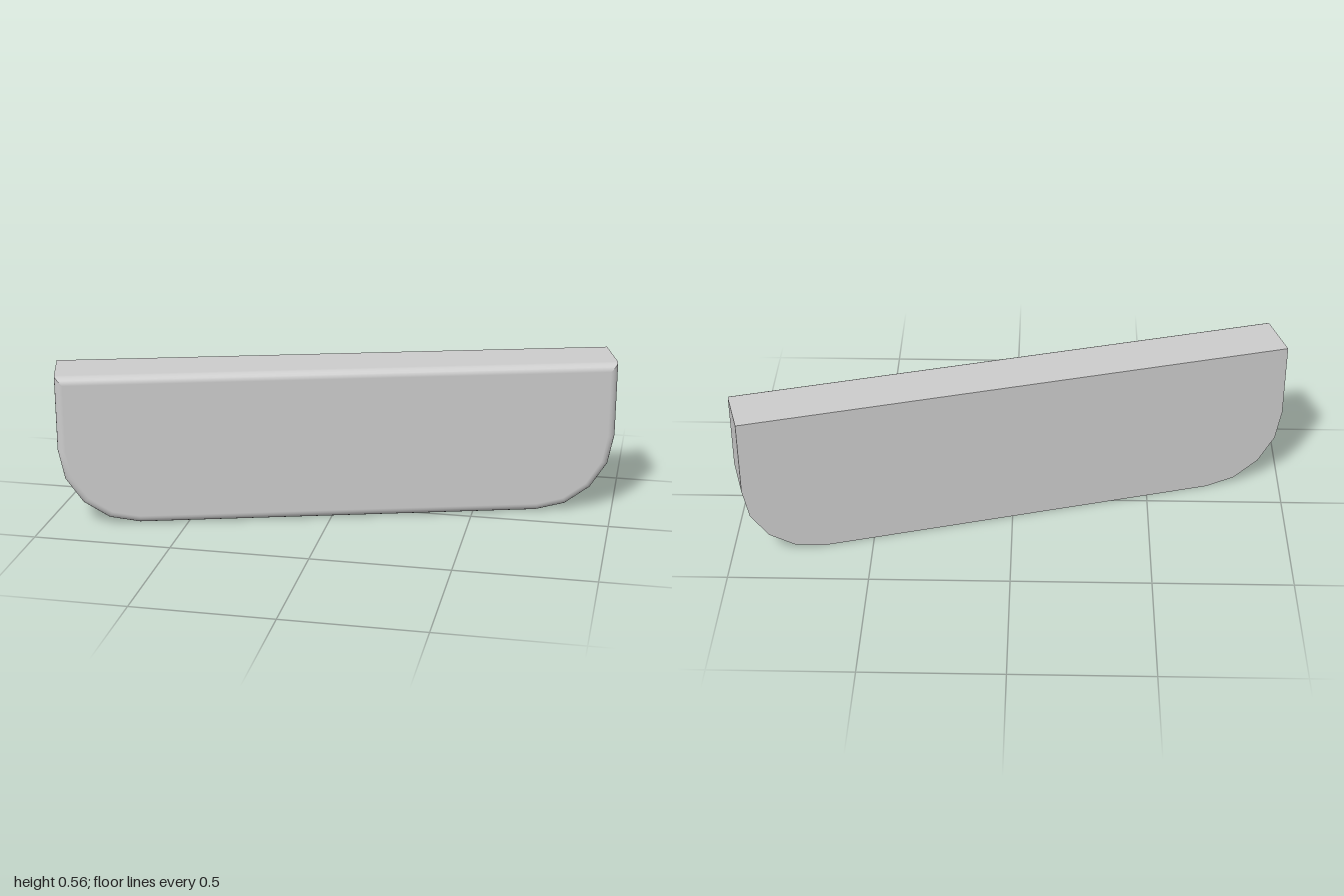
import * as THREE from 'three';

const LENGTH = 2.024, HEIGHT = 0.562, DEPTH = 0.215;
const CORNER = 0.285, BEVEL = 0.03;
const CORNER_STEPS = 4, BEVEL_STEPS = 5;

// Outline inset by d, counter-clockwise: rounded bottom corners, square top corners.
// Each entry is [x, y, normalX, normalY]; top corners are doubled to stay sharp.
function outline(d) {
  const pts = [];
  const w = LENGTH / 2;
  for (const side of [-1, 1]) {
    for (let i = 0; i <= CORNER_STEPS; i++) {
      const a = Math.PI * (side < 0 ? 1 : 1.5) + (i / CORNER_STEPS) * Math.PI / 2;
      const nx = Math.cos(a), ny = Math.sin(a);
      pts.push([side * (w - CORNER) + nx * (CORNER - d), CORNER + ny * (CORNER - d), nx, ny]);
    }
  }
  const x = w - d, y = HEIGHT - d;
  pts.push([x, y, 1, 0], [x, y, 0, 1], [-x, y, 0, 1], [-x, y, -1, 0]);
  return pts;
}

// Side wall running from the back to the rounded front edge
function wallGeometry() {
  const rings = [{ d: 0, z: -DEPTH / 2, phi: 0 }];
  for (let i = 0; i <= BEVEL_STEPS; i++) {
    const phi = (i / BEVEL_STEPS) * Math.PI / 2;
    rings.push({
      d: BEVEL * (1 - Math.cos(phi)),
      z: DEPTH / 2 - BEVEL * (1 - Math.sin(phi)),
      phi,
    });
  }
  const pos = [], nor = [], idx = [];
  const n = outline(0).length;
  rings.forEach(({ d, z, phi }, k) => {
    const c = Math.cos(phi), s = Math.sin(phi);
    for (const [x, y, nx, ny] of outline(d)) {
      pos.push(x, y, z);
      nor.push(nx * c, ny * c, s);
    }
    if (k === 0) return;
    for (let i = 0; i < n; i++) {
      const j = (i + 1) % n, lo = (k - 1) * n, hi = k * n;
      idx.push(lo + i, lo + j, hi + j, lo + i, hi + j, hi + i);
    }
  });
  const g = new THREE.BufferGeometry();
  g.setAttribute('position', new THREE.Float32BufferAttribute(pos, 3));
  g.setAttribute('normal', new THREE.Float32BufferAttribute(nor, 3));
  g.setIndex(idx);
  return g;
}

// Flat face with the outline inset by d
function faceGeometry(d) {
  const pts = outline(d)
    .filter((p, i, all) => i === 0 || p[0] !== all[i - 1][0] || p[1] !== all[i - 1][1])
    .map(([x, y]) => new THREE.Vector2(x, y));
  return new THREE.ShapeGeometry(new THREE.Shape(pts));
}

export function createModel() {
  const material = new THREE.MeshStandardMaterial({ color: 0xcccccc });
  const model = new THREE.Group();
  const panel = new THREE.Group();
  panel.name = 'panel';

  const add = (name, geometry) => {
    const mesh = new THREE.Mesh(geometry, material);
    mesh.name = name;
    panel.add(mesh);
  };
  add('roundedWall', wallGeometry());
  add('frontFace', faceGeometry(BEVEL).translate(0, 0, DEPTH / 2));
  add('backFace', faceGeometry(0).rotateY(Math.PI).translate(0, 0, -DEPTH / 2));

  // The panel stands at a slight turn
  panel.rotation.y = THREE.MathUtils.degToRad(16.06);
  panel.position.set(0.002, 0, 0.003);
  model.add(panel);
  return model;
}
